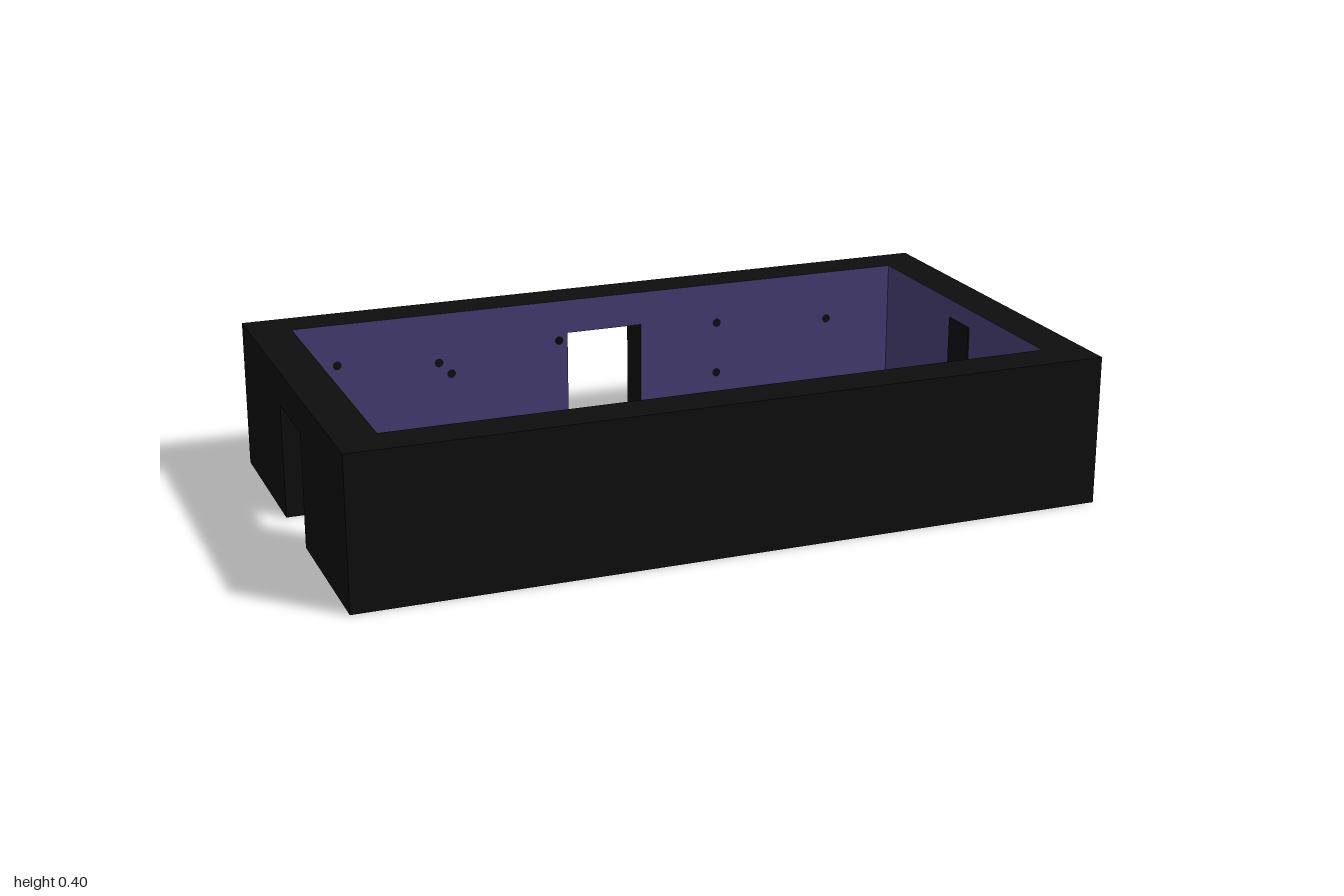
import * as THREE from 'three';

const H = 0.4, GAP = 0.111, DOOR_W = 0.11, DOOR_H = 0.305;

export function createModel() {
  const black = new THREE.MeshStandardMaterial({ color: 0x0e0e0e, side: THREE.DoubleSide });
  black.name = 'black shell';
  const purple = new THREE.MeshStandardMaterial({ color: 0x443b70, side: THREE.DoubleSide });
  purple.name = 'purple lining';

  const model = new THREE.Group();
  model.name = 'hollowWalls';

  const add = (parent, name, geometry, material, x = 0, y = 0, z = 0) => {
    const mesh = new THREE.Mesh(geometry, material);
    mesh.name = name;
    mesh.position.set(x, y, z);
    parent.add(mesh);
    return mesh;
  };

  // Upright sheet, with an optional doorway notch and holes
  const sheet = (half, door, holes = []) => {
    const pts = [[-half, 0]];
    if (door) pts.push([-DOOR_W, 0], [-DOOR_W, DOOR_H], [DOOR_W, DOOR_H], [DOOR_W, 0]);
    pts.push([half, 0], [half, H], [-half, H]);
    const shape = new THREE.Shape(pts.map(p => new THREE.Vector2(...p)));
    shape.holes.push(...holes);
    return new THREE.ShapeGeometry(shape, 8);
  };

  const pinhole = ([x, y]) => new THREE.Path().absarc(x, y, 0.011, 0, Math.PI * 2, true);

  // One hollow wall: outer skin, inner lining and doorway frame
  const wall = (name, half, dist, angle, { door = false, skinHoles = [], pins = [] }) => {
    const g = new THREE.Group();
    g.name = name;
    g.rotation.y = angle;
    add(g, 'outerSkin', sheet(half, door, skinHoles), black, 0, 0, dist);
    add(g, 'innerLining', sheet(half - GAP, door, pins.map(pinhole)), purple, 0, 0, dist - GAP);
    if (door) {
      const mid = dist - GAP / 2;
      for (const s of [-1, 1]) {
        add(g, 'doorJamb', new THREE.PlaneGeometry(GAP, DOOR_H), black, s * DOOR_W, DOOR_H / 2, mid)
          .rotation.y = Math.PI / 2;
      }
      add(g, 'doorLintel', new THREE.PlaneGeometry(DOOR_W * 2, GAP), black, 0, DOOR_H, mid)
        .rotation.x = Math.PI / 2;
    }
    model.add(g);
    return g;
  };

  const longPins = [[0.77, 0.285], [0.77, 0.135], [0.485, 0.26], [0.45, 0.225],
    [0.135, 0.285], [-0.343, 0.285], [-0.343, 0.135], [-0.69, 0.26]];

  // Broken opening in the right skin
  const breach = new THREE.Path([[-0.097, 0.2], [-0.09, 0.22], [-0.015, 0.287], [0, 0.292],
    [0.015, 0.285], [0.095, 0.215], [0.105, 0.17], [0.105, 0.12], [0.098, 0.107],
    [0, 0.107], [-0.09, 0.185]].map(p => new THREE.Vector2(...p)));

  wall('frontWall', 1, 0.555, 0, { pins: longPins });
  wall('backWall', 1, 0.555, Math.PI, { door: true, pins: longPins });
  wall('leftEndWall', 0.555, 1, -Math.PI / 2, { door: true });
  const right = wall('rightEndWall', 0.555, 1, Math.PI / 2,
    { skinHoles: [breach], pins: [[-0.326, 0.28], [-0.326, 0.14]] });

  // Dark narrow panel on the inside of the right wall
  add(right, 'darkPanel', new THREE.BoxGeometry(0.11, 0.35, 0.004), black, 0, 0.175, 1 - GAP - 0.003);

  // Cap closing the top of the hollow walls
  const rect = (C, x, z) => new C([[-x, -z], [x, -z], [x, z], [-x, z]].map(p => new THREE.Vector2(...p)));
  const cap = rect(THREE.Shape, 1, 0.555);
  cap.holes.push(rect(THREE.Path, 1 - GAP, 0.555 - GAP));
  add(model, 'topCap', new THREE.ShapeGeometry(cap), black, 0, H, 0).rotation.x = -Math.PI / 2;

  return model;
}
